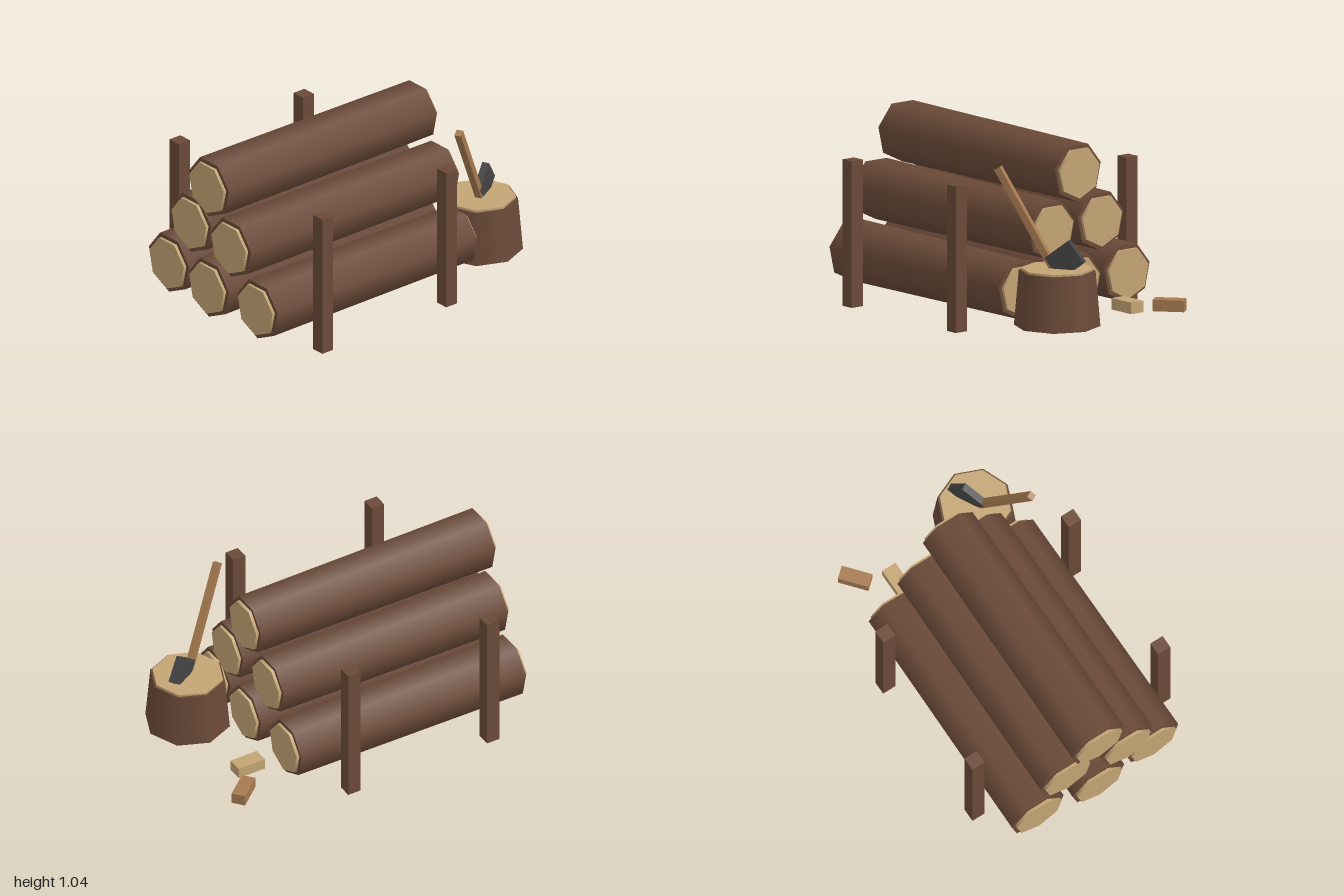
import * as THREE from 'three';

const mat = (name, color) => {
  const m = new THREE.MeshStandardMaterial({ color });
  m.name = name;
  return m;
};

export function createModel() {
  const bark = mat('bark brown', 0x6b4a38);
  const cutWood = mat('cut wood', 0xc4a574);
  const handleWood = mat('handle wood', 0xa67a50);
  const steel = mat('dark steel', 0x444444);

  const model = new THREE.Group();
  model.name = 'woodPile';

  const add = (parent, name, geometry, material, x = 0, y = 0, z = 0) => {
    const mesh = new THREE.Mesh(geometry, material);
    mesh.name = name;
    mesh.position.set(x, y, z);
    parent.add(mesh);
    return mesh;
  };

  // Stacked seven-sided logs, thicker at the -x end, with a pale core showing at both ends
  const pileX = -0.21;
  const logs = [
    [0.248, -0.387, 1.475], [0.248, 0, 1.54], [0.248, 0.387, 1.475],
    [0.573, -0.193, 1.475], [0.573, 0.193, 1.54],
    [0.88, 0, 1.54],
  ];
  for (const [y, z, length] of logs) {
    const log = new THREE.Group();
    log.name = 'log';
    log.position.set(pileX, y, z);
    log.rotation.z = Math.PI / 2;
    const cylinder = (r1, r2, l) =>
      new THREE.CylinderGeometry(r1, r2, l, 7, 1, false, -Math.PI / 2);
    add(log, 'logBark', cylinder(0.18, 0.172, length), bark);
    add(log, 'logCore', cylinder(0.155, 0.149, length + 0.036), cutWood);
    model.add(log);
  }

  // Four upright posts holding the pile
  for (const sx of [-1, 1]) {
    for (const sz of [-1, 1]) {
      add(model, 'post', new THREE.BoxGeometry(0.08, 0.843, 0.082), bark,
        pileX + sx * 0.457, 0.4215, sz * 0.627);
    }
  }

  // Chopping stump with a pale cut top
  const stump = new THREE.Group();
  stump.name = 'choppingStump';
  stump.position.set(0.752, 0, 0.313);
  add(stump, 'stumpBark', new THREE.CylinderGeometry(0.217, 0.245, 0.318, 8), bark, 0, 0.23, 0);
  add(stump, 'stumpTop', new THREE.CylinderGeometry(0.205, 0.205, 0.02, 8), cutWood, 0, 0.391, 0);
  model.add(stump);

  // Axe stuck in the stump; the group origin is the free end of the handle
  const axe = new THREE.Group();
  axe.name = 'axe';
  axe.position.set(0.447, 0.953, 0.492);
  axe.rotation.y = 0.51;
  const handle = add(axe, 'axeHandle',
    new THREE.BoxGeometry(0.04, 0.7, 0.04).translate(0, -0.35, 0), handleWood);
  handle.rotation.z = 0.545;
  const head = add(axe, 'axeHead', new THREE.BoxGeometry(0.18, 0.153, 0.042), steel, 0.405, -0.5, 0);
  head.rotation.z = 0.655;
  model.add(axe);

  // Split pieces of firewood
  add(model, 'splitPiecePale', new THREE.BoxGeometry(0.172, 0.066, 0.09), cutWood, 0.697, 0.104, -0.25);
  const piece = add(model, 'splitPieceBrown', new THREE.BoxGeometry(0.18, 0.066, 0.08), handleWood,
    0.84, 0.104, -0.44);
  piece.rotation.y = 0.7;

  return model;
}
